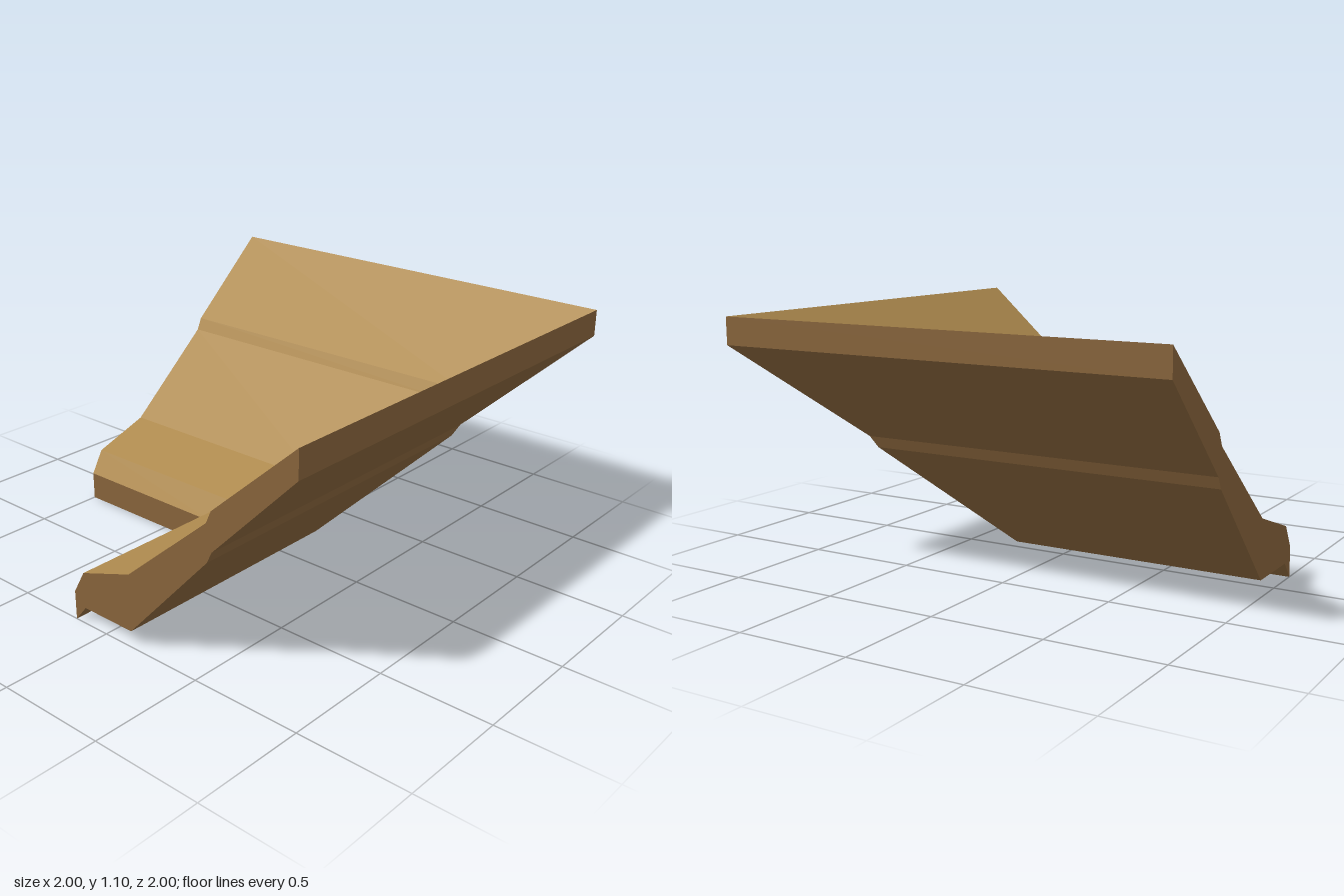
import * as THREE from 'three';

// Roof cross-section: [distance outward, height]
const upper = [[-0.18, 0.13], [-0.12, 0.235], [0.15, 0.327], [0.575, 0.69], [0.6, 0.745], [1, 1.1]];
const lower = [[1, 1.1], [1, 0.983], [0.6, 0.58], [0.575, 0.53], [0.15, 0.073], [-0.12, 0.073], [-0.18, 0], [-0.18, 0.13]];

// Sweep a strip of the section from the diagonal mitre to the open end
function sweep(line) {
  const pos = [];
  for (let i = 0; i < line.length - 1; i++) {
    const [x0, y0] = line[i], [x1, y1] = line[i + 1];
    const a = [x0, y0, -x0], b = [x1, y1, -x1], c = [x1, y1, 1], d = [x0, y0, 1];
    pos.push(...a, ...d, ...c, ...a, ...c, ...b);
  }
  const g = new THREE.BufferGeometry();
  g.setAttribute('position', new THREE.Float32BufferAttribute(pos, 3));
  g.computeVertexNormals();
  return g;
}

// Flat face closing the open end
function endCap() {
  const points = [...upper, ...lower.slice(1, -1)].map(([x, y]) => new THREE.Vector2(x, y));
  return new THREE.ShapeGeometry(new THREE.Shape(points)).translate(0, 0, 1).toNonIndexed();
}

// Mirror across the diagonal plane and restore the corner order
function mirrored(geometry) {
  const g = geometry.clone(), p = g.attributes.position, src = geometry.attributes.position;
  for (let i = 0; i < p.count; i++) {
    const j = i % 3 === 0 ? i : i % 3 === 1 ? i + 1 : i - 1;
    p.setXYZ(i, -src.getZ(j), src.getY(j), -src.getX(j));
  }
  g.computeVertexNormals();
  return g;
}

export function createModel() {
  const model = new THREE.Group();
  model.name = 'roofInnerCorner';
  const tan = new THREE.MeshStandardMaterial({ color: 0xae8a4e });
  tan.name = 'tan roofing';
  const brown = new THREE.MeshStandardMaterial({ color: 0x85623a });
  brown.name = 'brown wood';

  const parts = [
    ['roofSurface', sweep(upper), tan],
    ['undersideAndFascia', sweep(lower), brown],
    ['endCap', endCap(), brown],
  ];
  // Two arms meeting at the diagonal valley
  for (const side of ['sideArm', 'backArm']) {
    const arm = new THREE.Group();
    arm.name = side;
    for (const [name, geometry, material] of parts) {
      const mesh = new THREE.Mesh(side === 'backArm' ? mirrored(geometry) : geometry, material);
      mesh.name = name;
      arm.add(mesh);
    }
    model.add(arm);
  }
  return model;
}
